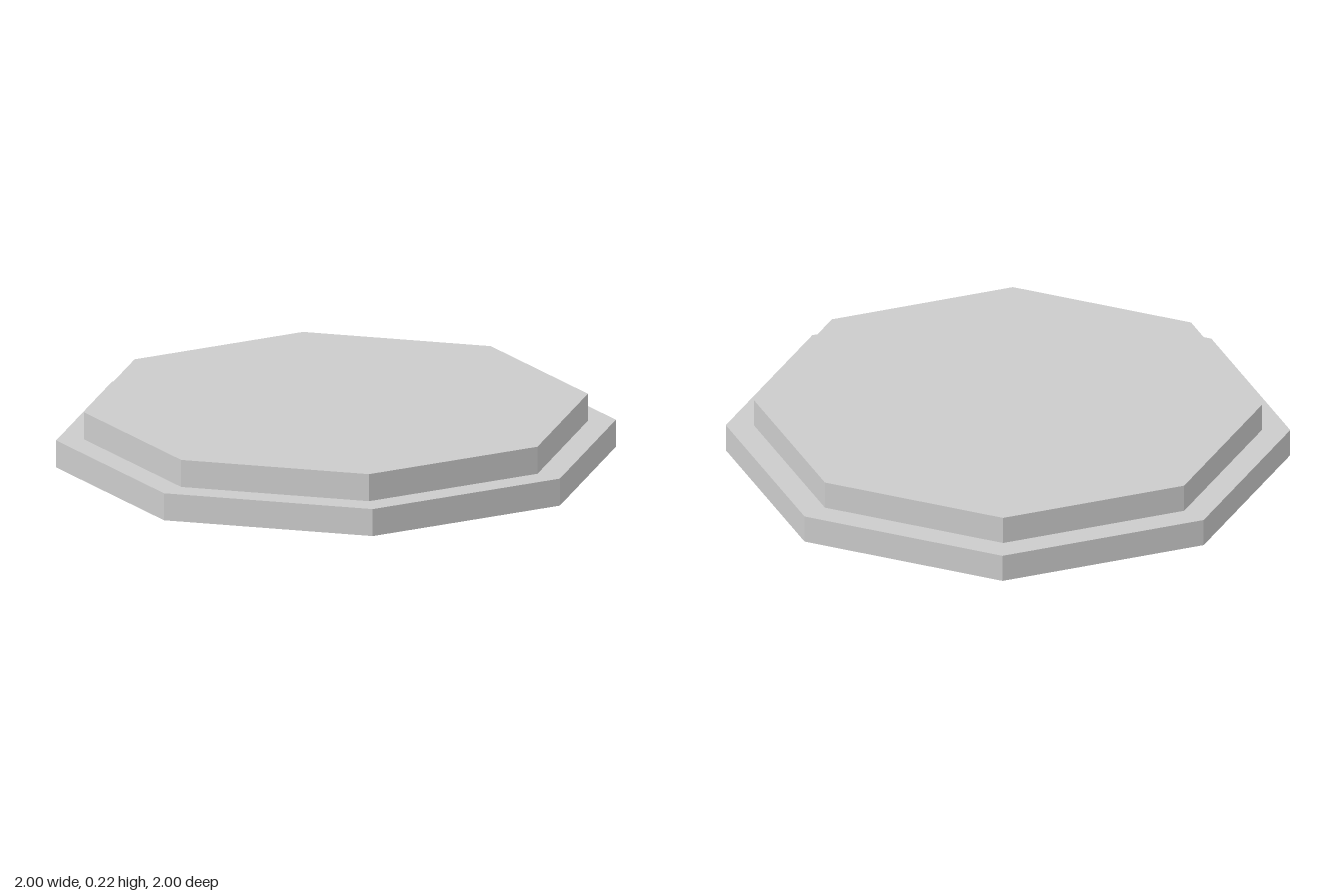
import * as THREE from 'three';

const SIDES = 8;
const TIER_HEIGHT = 0.108;

// Octagonal slab sized by the distance from its centre to a flat side
function slab(name, apothem, bottom, material) {
  const radius = apothem / Math.cos(Math.PI / SIDES);
  const geometry = new THREE.CylinderGeometry(radius, radius, TIER_HEIGHT, SIDES);
  geometry.rotateY(Math.PI / SIDES); // flat side to the front
  const mesh = new THREE.Mesh(geometry, material);
  mesh.name = name;
  mesh.position.y = bottom + TIER_HEIGHT / 2;
  return mesh;
}

export function createModel() {
  const group = new THREE.Group();
  group.name = 'steppedOctagonalPlatform';
  const material = new THREE.MeshStandardMaterial({ color: 0xcccccc, flatShading: true });

  // Wide base step with a narrower step on top
  group.add(slab('lowerStep', 1, 0, material));
  group.add(slab('upperStep', 0.9, TIER_HEIGHT, material));
  return group;
}
